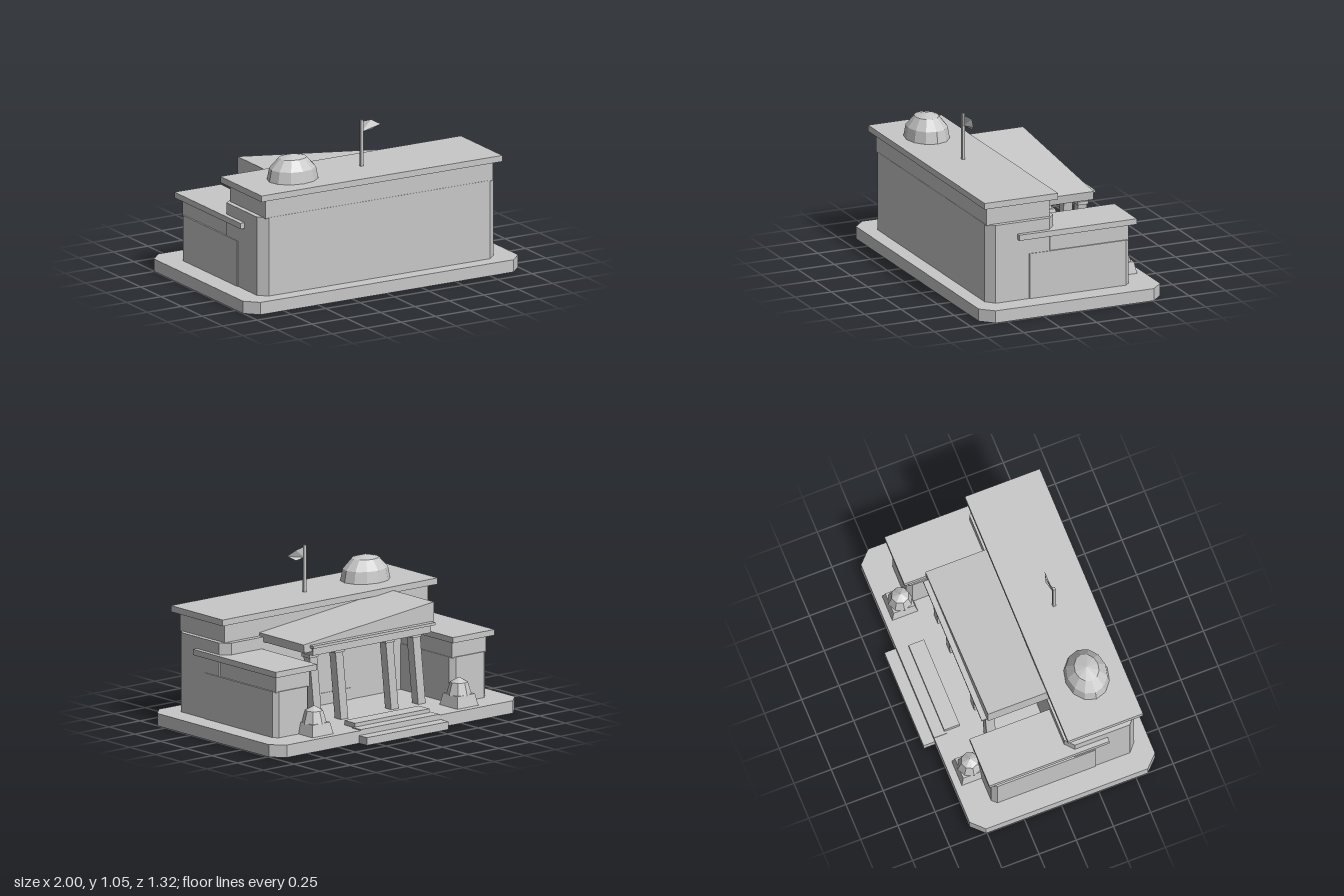
import * as THREE from 'three';

const stone = new THREE.MeshStandardMaterial({ color: 0xc8c8c8, side: THREE.DoubleSide });
stone.name = 'pale stone';
stone.flatShading = true;

export function createModel() {
  const model = new THREE.Group();
  model.name = 'civicBuilding';

  const add = (name, geometry) => {
    const mesh = new THREE.Mesh(geometry, stone);
    mesh.name = name;
    model.add(mesh);
    return mesh;
  };
  // Box given by its limits on each axis
  const box = (name, x0, x1, y0, y1, z0, z1) => {
    const mesh = add(name, new THREE.BoxGeometry(x1 - x0, y1 - y0, z1 - z0));
    mesh.position.set((x0 + x1) / 2, (y0 + y1) / 2, (z0 + z1) / 2);
    return mesh;
  };
  // Rectangle in plan with cut corners
  const plan = (x0, x1, z0, z1, cx, cz = cx) => [
    [x0 + cx, z0], [x1 - cx, z0], [x1, z0 + cz], [x1, z1 - cz],
    [x1 - cx, z1], [x0 + cx, z1], [x0, z1 - cz], [x0, z0 + cz],
  ].map(([x, z]) => new THREE.Vector2(x, -z));
  const prism = (name, outline, y0, y1, hole) => {
    const shape = new THREE.Shape(outline);
    if (hole) shape.holes.push(new THREE.Path(hole));
    const geometry = new THREE.ExtrudeGeometry(shape, { depth: y1 - y0, bevelEnabled: false });
    geometry.rotateX(-Math.PI / 2);
    geometry.translate(0, y0, 0);
    return add(name, geometry);
  };

  // Hollow base, open underneath, with a small sunken pit
  const base = plan(-1, 1, -0.587, 0.66, 0.08);
  prism('baseRim', base, 0, 0.08, plan(-0.99, 0.99, -0.577, 0.65, 0.077));
  const pit = [[-0.16, 0.1], [0.16, 0.1], [0.16, 0.21], [-0.16, 0.21]].map(([x, z]) => new THREE.Vector2(x, -z));
  prism('baseDeck', base, 0.072, 0.08, pit);
  box('pitCeiling', -0.16, 0.16, 0.15, 0.155, 0.1, 0.21);
  for (const s of [-1, 1]) {
    box('pitEnd', s * 0.165 - 0.005, s * 0.165 + 0.005, 0.08, 0.155, 0.1, 0.21);
    box('pitSide', -0.17, 0.17, 0.08, 0.155, 0.155 + s * 0.06 - 0.005, 0.155 + s * 0.06 + 0.005);
  }

  // Main hall: cut-corner walls, attic and flat roof
  const hall = plan(-0.86, 0.86, 0.095, 0.565, 0.057, 0.05);
  prism('hallWalls', hall, 0.08, 0.59,
    [[-0.2, 0.105], [0.2, 0.105], [0.2, 0.22], [-0.2, 0.22]].map(([x, z]) => new THREE.Vector2(x, -z)));
  box('attic', -0.828, 0.828, 0.585, 0.71, 0.13, 0.563);
  box('hallRoof', -0.875, 0.875, 0.71, 0.75, 0.093, 0.597);

  // Side wings, lamps and portico columns, mirrored
  for (const s of [-1, 1]) {
    const span = (a, b) => (s > 0 ? [a, b] : [-b, -a]);
    prism('wingLower', plan(...span(0.575, 0.865), -0.408, 0.31, 0.03, 0.03), 0.08, 0.375);
    box('wingUpper', ...span(0.58, 0.855), 0.37, 0.48, -0.4, 0.3);
    box('wingRoof', ...span(0.553, 0.89), 0.478, 0.515, -0.441, 0.365);

    const foot = add('lampFoot', new THREE.CylinderGeometry(0.1, 0.122, 0.075, 4).rotateY(Math.PI / 4));
    foot.position.set(s * 0.59, 0.1175, -0.455);
    const lamp = add('lamp', new THREE.LatheGeometry(
      [[0.08, 0.15], [0.056, 0.23], [0, 0.26]].map(([r, y]) => new THREE.Vector2(r, y)), 8));
    lamp.position.set(s * 0.59, 0, -0.455);
  }
  for (const x of [-0.43, -0.21, 0.2, 0.41]) {
    // Each shaft leans a little sideways
    const shaft = new THREE.BoxGeometry(0.06, 0.455, 0.06);
    shaft.applyMatrix4(new THREE.Matrix4().makeShear(0, 0, 0.1, 0, 0, 0));
    const p = shaft.attributes.position;
    const leaning = p.getX(0) + p.getX(1) !== p.getX(2) + p.getX(3);
    if (!leaning) for (let i = 0; i < p.count; i++) p.setX(i, p.getX(i) + p.getY(i) * 0.1);
    shaft.computeVertexNormals();
    add('column', shaft).position.set(x + 0.022, 0.3075, -0.255);
    box('columnCapital', x + 0.007, x + 0.082, 0.515, 0.536, -0.292, -0.218);
  }

  // Portico beam, lip and single-slope roof
  box('porticoBeam', -0.48, 0.48, 0.535, 0.586, -0.315, 0.12);
  box('porticoLip', -0.497, 0.497, 0.585, 0.602, -0.337, 0.12);
  const wedge = new THREE.Shape([[-0.515, 0.6], [0.54, 0.557], [0.547, 0.612], [-0.515, 0.725]]
    .map(([x, y]) => new THREE.Vector2(x, y)));
  add('porticoRoof', new THREE.ExtrudeGeometry(wedge, { depth: 0.43, bevelEnabled: false })).position.z = -0.302;

  // Entrance steps
  box('lowerStep', -0.333, 0.333, 0, 0.05, -0.662, -0.58);
  box('middleStep', -0.32, 0.32, 0.08, 0.086, -0.587, -0.5);
  box('upperStep', -0.303, 0.303, 0.08, 0.11, -0.512, -0.408);

  // Faceted dome on the hall roof
  const dome = add('dome', new THREE.LatheGeometry(
    [[0.168, 0.75], [0.153, 0.825], [0.092, 0.89], [0, 0.912]].map(([r, y]) => new THREE.Vector2(r, y)), 12));
  dome.position.set(-0.51, 0, 0.362);
  dome.scale.z = 0.83;

  // Flagpole and pennant
  box('flagpole', -0.009, 0.009, 0.75, 1.05, 0.336, 0.354);
  const pennant = new THREE.ShapeGeometry(new THREE.Shape(
    [[0, 0.97], [0.085, 0.966], [0.145, 1.0], [0.085, 1.034], [0, 1.04]].map(([x, y]) => new THREE.Vector2(x, y))));
  const q = pennant.attributes.position;
  for (let i = 0; i < q.count; i++) q.setZ(i, 0.345 - 0.022 * Math.sin(q.getX(i) * 20));
  pennant.computeVertexNormals();
  add('pennant', pennant);

  return model;
}
